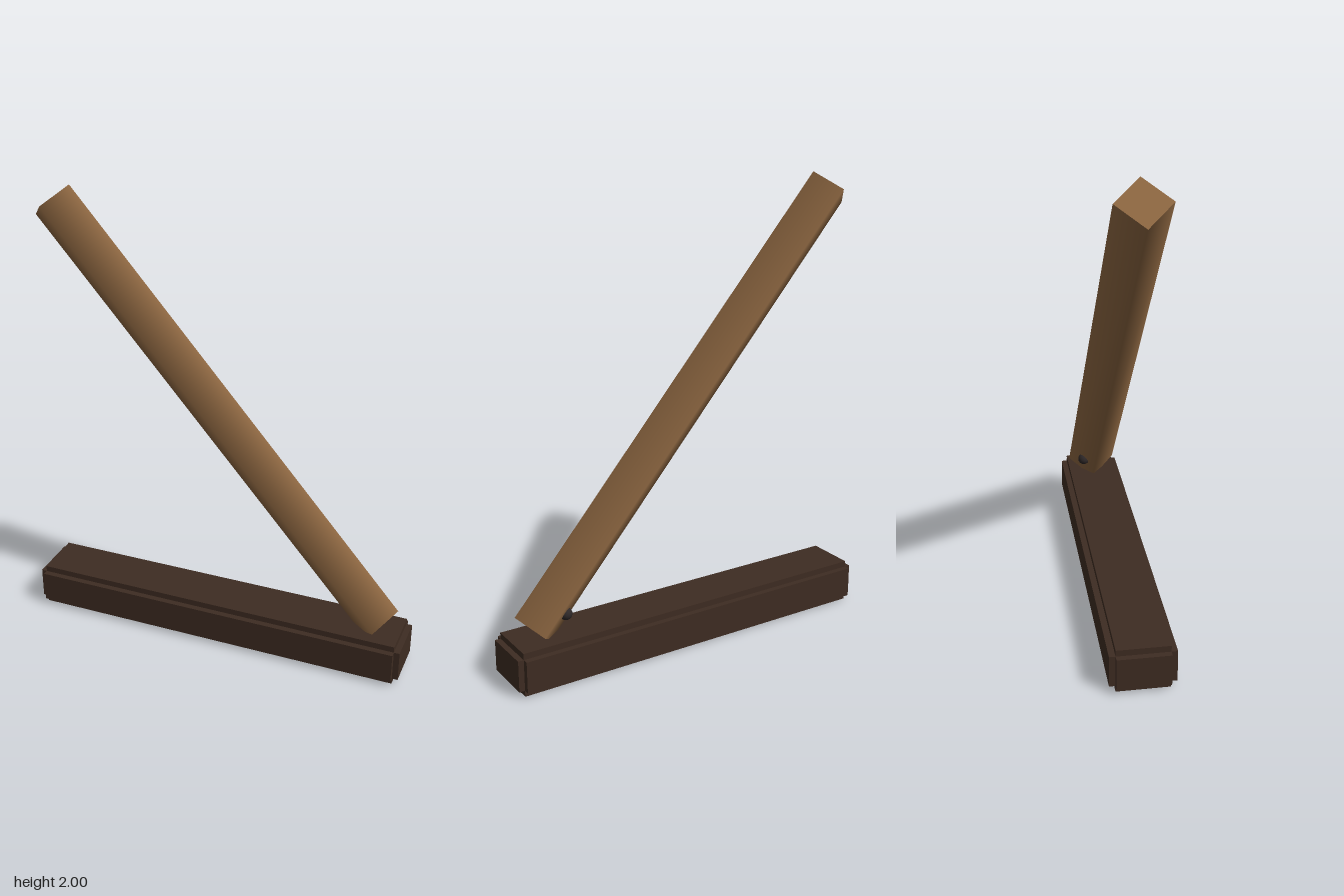
import * as THREE from 'three';

export function createModel() {
  const model = new THREE.Group();
  const darkWood = new THREE.MeshStandardMaterial({ name: 'darkWood', color: 0x3e2c22 });
  const lightWood = new THREE.MeshStandardMaterial({ name: 'lightWood', color: 0x8b6540 });
  const darkMetal = new THREE.MeshStandardMaterial({ name: 'darkMetal', color: 0x2e2828 });

  function add(parent, name, geometry, material, x, y, z) {
    const mesh = new THREE.Mesh(geometry, material);
    mesh.name = name;
    mesh.position.set(x, y, z);
    parent.add(mesh);
    return mesh;
  }

  // Base beam: a core with stepped edges on every side
  const base = new THREE.Group();
  base.name = 'base';
  model.add(base);
  const blocks = [
    ['baseCore', 1.67, 0.192, 0.22],
    ['baseEnds', 1.72, 0.138, 0.22],
    ['baseSides', 1.67, 0.138, 0.272],
  ];
  for (const [name, w, h, d] of blocks) {
    add(base, name, new THREE.BoxGeometry(w, h, d), darkWood, 0, 0.096, 0);
  }

  // Leaning arm: a smooth-shaded four-sided post set on its edge
  const foot = new THREE.Vector3(0.735, 0.23, 0);
  const head = new THREE.Vector3(-0.74, 1.93, 0);
  const axis = head.clone().sub(foot);
  const middle = foot.clone().add(head).multiplyScalar(0.5);
  const arm = add(model, 'arm', new THREE.CylinderGeometry(0.108, 0.108, axis.length(), 4),
    lightWood, middle.x, middle.y, 0);
  arm.rotation.z = Math.atan2(-axis.x, axis.y);

  // Small round pin on the lower back face of the arm
  add(model, 'pin', new THREE.SphereGeometry(0.027, 16, 12), darkMetal, 0.61, 0.285, -0.05);

  return model;
}
